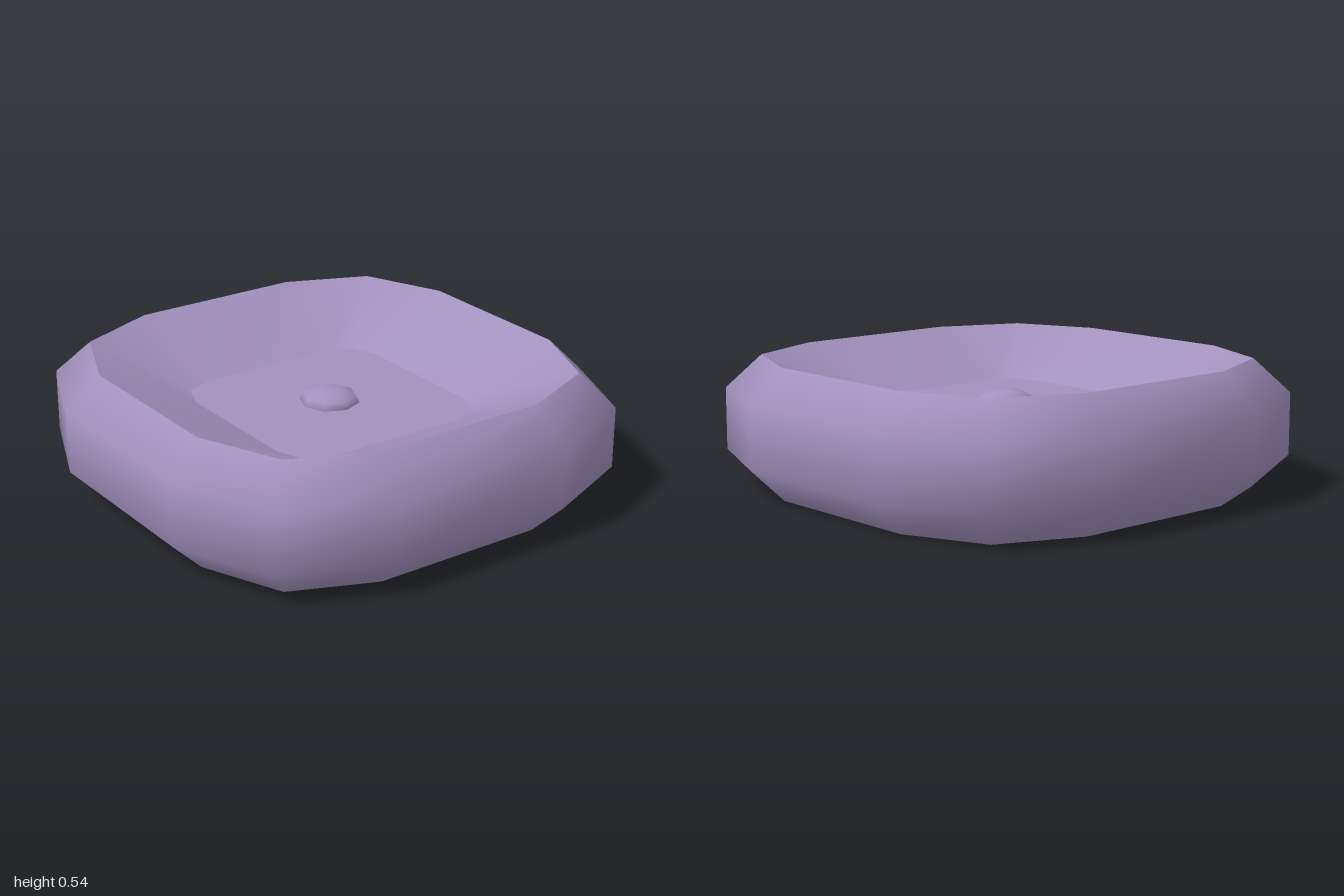
import * as THREE from 'three';

// Twelve-sided ring: half width w, corner point c, half length f of the straight side
function ring([y, w, c, f]) {
  const points = [];
  let u = [1, 0];
  for (let q = 0; q < 4; q++) {
    const v = [-u[1], u[0]];
    for (const [a, b] of [[w, f], [c, c], [f, w]]) {
      points.push([u[0] * a + v[0] * b, y, u[1] * a + v[1] * b]);
    }
    u = v;
  }
  return points;
}

// Smooth skin through a series of rings
function skin(rings) {
  const n = 12;
  const index = [];
  for (let r = 0; r < rings.length - 1; r++) {
    for (let i = 0; i < n; i++) {
      const j = (i + 1) % n;
      const a = r * n + i, b = r * n + j, c = a + n, d = b + n;
      index.push(a, c, b, b, c, d);
    }
  }
  const geometry = new THREE.BufferGeometry();
  geometry.setAttribute('position', new THREE.Float32BufferAttribute(rings.flatMap(ring).flat(), 3));
  geometry.setIndex(index);
  geometry.computeVertexNormals();
  return geometry;
}

export function createModel() {
  const group = new THREE.Group();
  const lilac = new THREE.MeshStandardMaterial({ name: 'lilac', color: 0xa291be });
  const add = (name, geometry) => {
    const mesh = new THREE.Mesh(geometry, lilac);
    mesh.name = name;
    group.add(mesh);
    return mesh;
  };

  const floorY = 0.35;
  const base = [0, 0.86, 0.715, 0.37];
  const rim = [0.54, 0.86, 0.715, 0.37];
  const floor = [floorY, 0.46, 0.415, 0.3];

  // Cushioned outside, from base to rim
  add('outerWall', skin([base, [0.14, 1, 0.823, 0.4], [0.4, 1, 0.823, 0.4], rim]));
  // Sloping inside of the bowl
  add('innerWall', skin([rim, floor]));
  // Flat floor and underside
  add('bowlFloor', skin([floor, [floorY, 0, 0, 0]]));
  add('underside', skin([[0, 0, 0, 0], base]));

  // Low button in the middle of the floor
  const button = add('centreButton', new THREE.SphereGeometry(0.125, 8, 6));
  button.scale.y = 0.45;
  button.position.y = floorY;

  return group;
}
